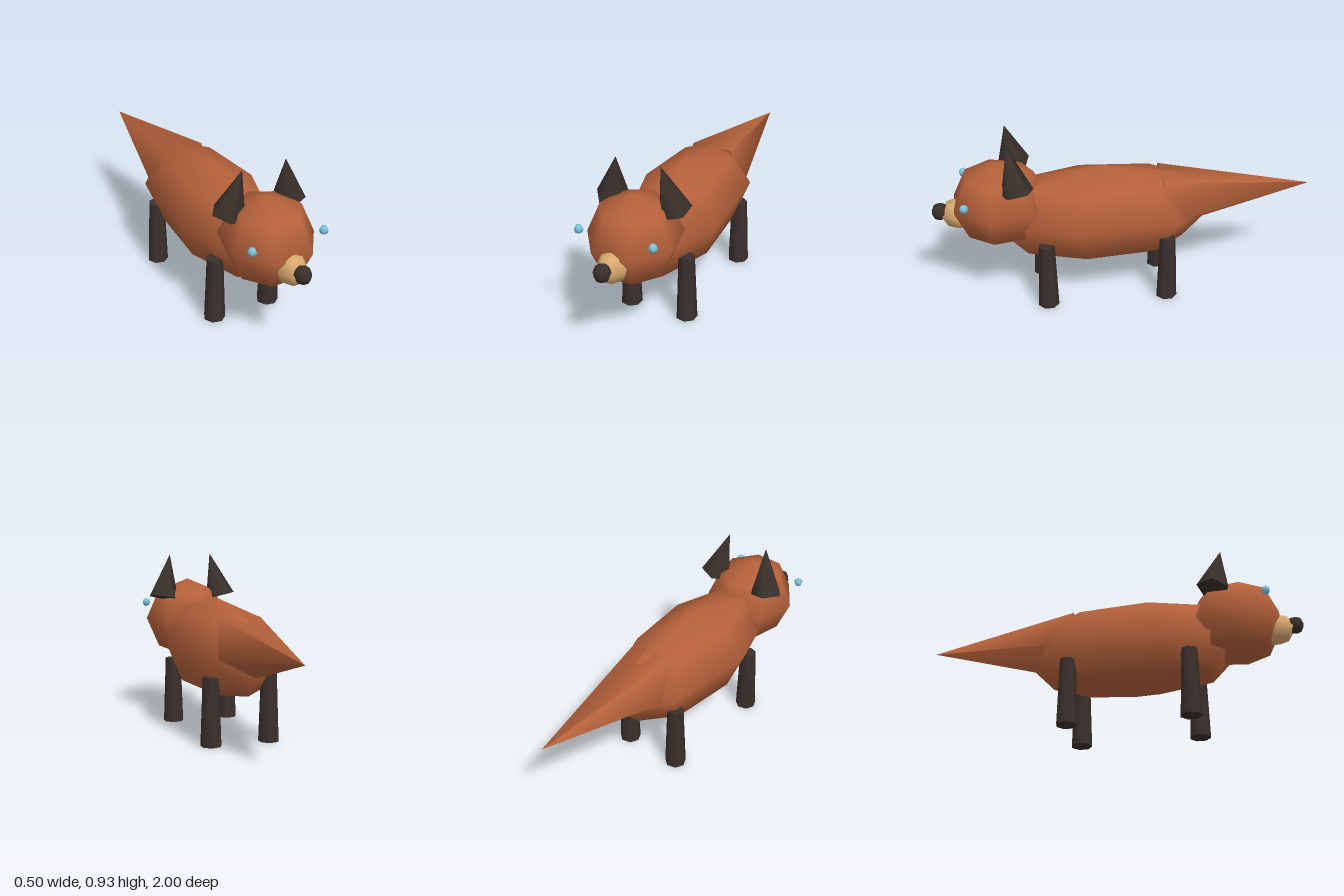
import * as THREE from 'three';

const paint = (color) => new THREE.MeshStandardMaterial({ color });

export function createModel() {
  const model = new THREE.Group();
  const fur = paint(0xb5613a);
  const dark = paint(0x3a302b);
  const tan = paint(0xd9aa70);
  const blue = paint(0x7ec8e3);

  const add = (name, geometry, material, x, y, z) => {
    const mesh = new THREE.Mesh(geometry, material);
    mesh.name = name;
    mesh.position.set(x, y, z);
    model.add(mesh);
    return mesh;
  };

  // Coarse ball with an odd number of sides, its single corner to the back
  const ball = (sx, sy, sz, sides = 7) =>
    new THREE.SphereGeometry(1, sides, 4).rotateY(-Math.PI / 2).scale(sx, sy, sz);

  // Body and head
  add('body', ball(0.252, 0.265, 0.62), fur, 0, 0.455, 0.12);
  add('head', ball(0.236, 0.229, 0.26), fur, 0, 0.552, 0.65);
  add('muzzle', ball(0.08, 0.085, 0.11), tan, 0, 0.5, 0.85);
  add('nose', ball(0.045, 0.047, 0.047), dark, 0, 0.515, 0.957);

  // Tail: five-sided cone, one edge underneath, tip raised slightly
  const tailGeometry = new THREE.ConeGeometry(0.188, 0.8, 5)
    .rotateY(Math.PI)
    .translate(0, -0.4, 0) // pivot at the tip
    .rotateX(-Math.PI / 2 + 0.043);
  add('tail', tailGeometry, fur, 0, 0.54, -1);

  // Ears lean inwards and forwards
  const earGeometry = new THREE.ConeGeometry(0.087, 0.25, 5)
    .rotateY(-Math.PI / 2)
    .translate(0, 0.125, 0);
  const eyeGeometry = ball(0.024, 0.024, 0.024, 5);
  const legGeometry = new THREE.CylinderGeometry(0.043, 0.056, 0.36, 7).rotateY(-Math.PI / 2);

  for (const [side, s] of [['left', 1], ['right', -1]]) {
    const ear = add(side + 'Ear', earGeometry, dark, s * 0.17, 0.685, 0.56);
    ear.rotation.set(0.17, 0, s * 0.2);

    add(side + 'Eye', eyeGeometry, blue, s * 0.198, 0.632, 0.83);
    add(side + 'FrontLeg', legGeometry, dark, s * 0.16, 0.18, 0.425);
    add(side + 'BackLeg', legGeometry, dark, s * 0.16, 0.18, -0.208);
  }

  return model;
}
